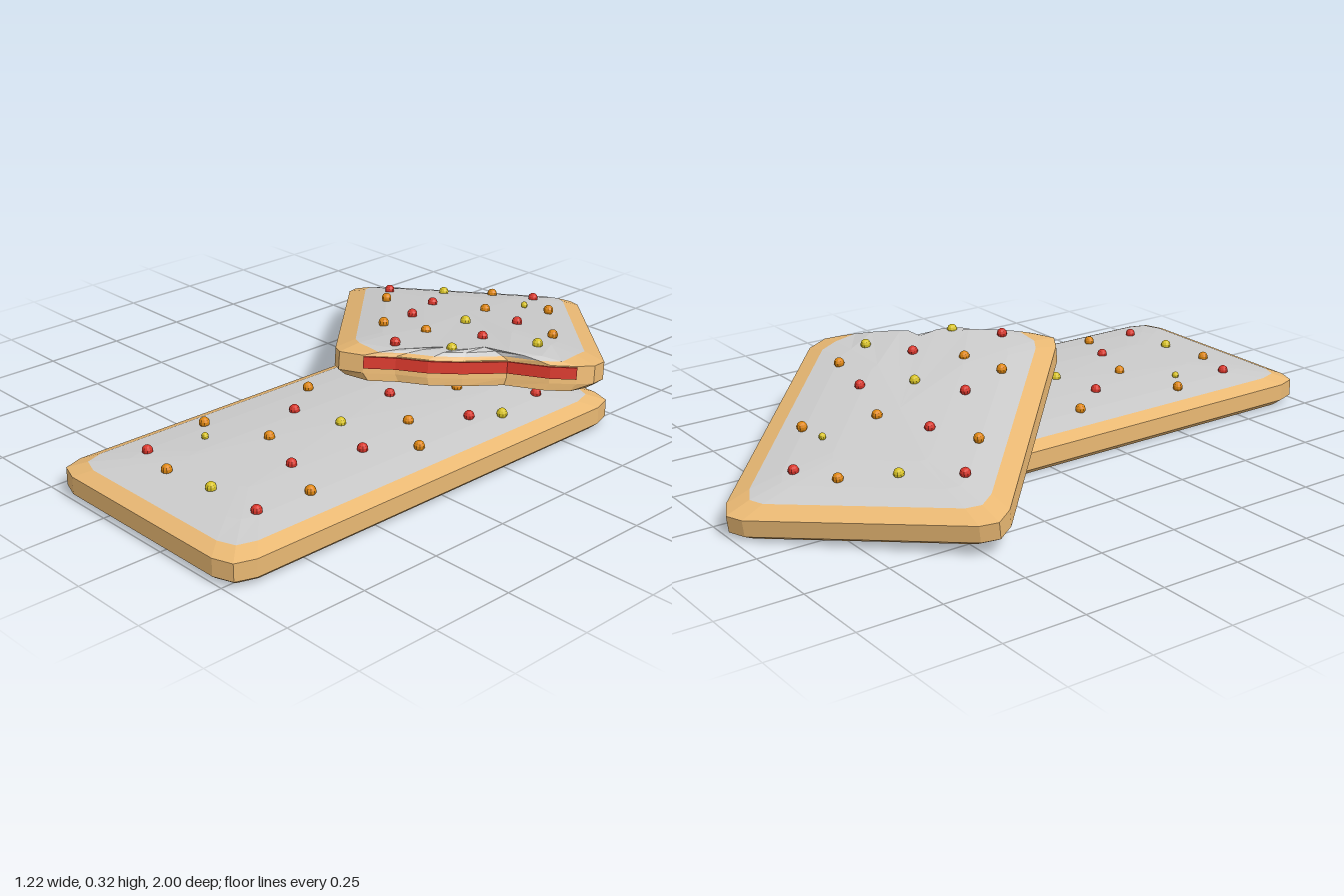
import * as THREE from 'three';

const material = (color) => new THREE.MeshStandardMaterial({ color, flatShading: true, roughness: 0.8 });
const crustMat = material(0xe9b873);
const icingMat = material(0xcccccc);
const fillingMat = material(0xd2362a);
const sprinkleMats = {
  r: material(0xd8352a),
  o: material(0xdf8710),
  y: material(0xd9c425),
};

function add(group, name, geometry, mat) {
  const mesh = new THREE.Mesh(geometry, mat);
  mesh.name = name;
  group.add(mesh);
  return mesh;
}

// Skin a stack of rings (bottom to top), with optional centre points closing the ends
function loft(rings, bottom, top) {
  const pos = [];
  const tri = (...corners) => corners.forEach((c) => pos.push(...c));
  const n = rings[0].length;
  for (let i = 0; i < n; i++) {
    const j = (i + 1) % n;
    for (let r = 0; r < rings.length - 1; r++) {
      const a = rings[r], b = rings[r + 1];
      tri(a[i], b[i], a[j]);
      tri(a[j], b[i], b[j]);
    }
    const last = rings[rings.length - 1];
    if (bottom) tri(bottom, rings[0][i], rings[0][j]);
    if (top) tri(top, last[j], last[i]);
  }
  const g = new THREE.BufferGeometry();
  g.setAttribute('position', new THREE.Float32BufferAttribute(pos, 3));
  g.computeVertexNormals();
  return g;
}

// Ring of the outline pulled inward; torn points keep almost their full length
function ring(outline, hx, hz, inset, y) {
  return outline.map(([x, z, torn]) => [
    x * (1 - (torn ? inset * 0.12 : inset) / hx),
    torn ? y - Math.min(0.008, inset * 0.2) : y,
    z * (1 - inset / hz),
  ]);
}

const domeHeight = (x, z, hx, hz) => 0.094 + 0.016 * Math.max(0, 1 - (x / hx) ** 2) * Math.max(0, 1 - (z / hz) ** 4);

function pastry(name, outline, hx, hz, rim) {
  const group = new THREE.Group();
  group.name = name;
  const at = (inset, y) => ring(outline, hx, hz, inset, y);
  add(group, 'crust', loft([at(0.02, 0), at(0, 0.018), at(0, 0.07), at(rim, 0.088)], [0, 0, 0]), crustMat);
  add(group, 'icing', loft([at(rim, 0.088), at(0.13, 0.099), at(0.25, 0.107)], null, [0, 0.11, 0]), icingMat);
  return group;
}

// Sprinkles as [x, z, colour, radius] in the pastry's own plane
function sprinkle(group, list, hx, hz) {
  const dots = new THREE.Group();
  dots.name = 'sprinkles';
  for (const [x, z, colour, radius = 0.016] of list) {
    const ball = add(dots, 'sprinkle', new THREE.SphereGeometry(radius, 10, 7), sprinkleMats[colour]);
    ball.position.set(x, domeHeight(x, z, hx, hz) + 0.004, z);
  }
  group.add(dots);
}

// Rectangle with three-point rounded corners
function roundedOutline(hx, hz, c) {
  const out = [];
  for (const [sx, sz] of [[1, 1], [-1, 1], [-1, -1], [1, -1]]) {
    const corner = [[hx, hz - c], [hx - c * 0.26, hz - c * 0.26], [hx - c, hz]];
    if (sx !== sz) corner.reverse();
    corner.forEach(([x, z]) => out.push([sx * x, sz * z]));
  }
  return out;
}

export function createModel() {
  const model = new THREE.Group();
  model.name = 'toasterPastries';

  // Whole pastry lying flat
  const cx = 0.163, cz = 0.268;
  const whole = pastry('wholePastry', roundedOutline(0.383, 0.732, 0.08), 0.383, 0.732, 0.045);
  whole.position.set(cx, 0, cz);
  const lowerDots = [
    [-0.09, 0.195, 'o'], [0.01, 0.335, 'r'], [0.17, 0.3, 'y'], [0.29, 0.15, 'o'], [0.42, 0.235, 'o'],
    [0.33, 0.365, 'r'], [0.1, 0.505, 'o'], [-0.11, 0.57, 'o'], [-0.03, 0.63, 'y', 0.011],
    [0.27, 0.57, 'r'], [0.415, 0.63, 'o'], [-0.075, 0.795, 'r'], [0.06, 0.83, 'o'], [0.225, 0.81, 'y'],
    [0.4, 0.8, 'r'], [0.43, -0.09, 'y'], [0.38, -0.005, 'r'], [0.12, 0.06, 'r'], [-0.1, -0.02, 'y'],
    [0.22, -0.12, 'o'], [0.4, -0.27, 'r'],
  ];
  sprinkle(whole, lowerDots.map(([x, z, ...rest]) => [x - cx, z - cz, ...rest]), 0.383, 0.732);
  model.add(whole);

  // Broken pastry leaning on the first, torn at its raised end
  const torn = [[0.515, -0.302], [0.523, -0.225], [0.488, -0.105], [0.533, 0.023], [0.547, 0.122], [0.527, 0.214], [0.535, 0.306]];
  const outline = [
    ...torn.map(([x, z]) => [x, z, true]),
    [0.505, 0.376], [0.45, 0.39],
    [-0.45, 0.388], [-0.51, 0.37], [-0.53, 0.32],
    [-0.53, -0.32], [-0.51, -0.37], [-0.45, -0.388],
    [0.43, -0.388], [0.492, -0.355],
  ];
  const broken = pastry('brokenPastry', outline, 0.53, 0.388, 0.055);
  broken.position.set(0.006, 0.105, -0.379);
  broken.rotation.set(-0.05, -Math.PI / 4, 0.18, 'YZX');

  // Red filling showing along the tear
  const band = [...torn.map(([x, z]) => [x + 0.008, z]), ...torn.map(([x, z]) => [x - 0.02, z]).reverse()];
  const shape = new THREE.Shape(band.map(([x, z]) => new THREE.Vector2(x, z)));
  const filling = add(broken, 'filling', new THREE.ExtrudeGeometry(shape, { depth: 0.034, bevelEnabled: false }), fillingMat);
  filling.rotation.x = Math.PI / 2;
  filling.position.y = 0.067;

  const upperDots = [
    [-0.08, -0.785, 'r'], [-0.2, -0.715, 'o'], [0.01, -0.64, 'y', 0.011], [0.1, -0.655, 'o'],
    [-0.295, -0.58, 'y'], [-0.415, -0.445, 'r'], [0, -0.465, 'o'], [-0.16, -0.39, 'r'],
    [0.185, -0.41, 'r'], [0.355, -0.38, 'o'], [-0.3, -0.32, 'o'], [0.095, -0.275, 'y'],
    [-0.06, -0.2, 'r'], [0.26, -0.175, 'r'], [0.405, -0.255, 'y'], [-0.025, -0.045, 'o'],
    [0.12, -0.08, 'o'], [0.17, 0.095, 'r'], [0.305, 0, 'y'],
  ];
  sprinkle(broken, upperDots.map(([x, z, ...rest]) => {
    const s = Math.SQRT1_2, dz = z + 0.385;
    return [s * (x + dz) * 1.015 + 0.01, s * (dz - x), ...rest];
  }), 0.53, 0.388);
  model.add(broken);

  return model;
}
